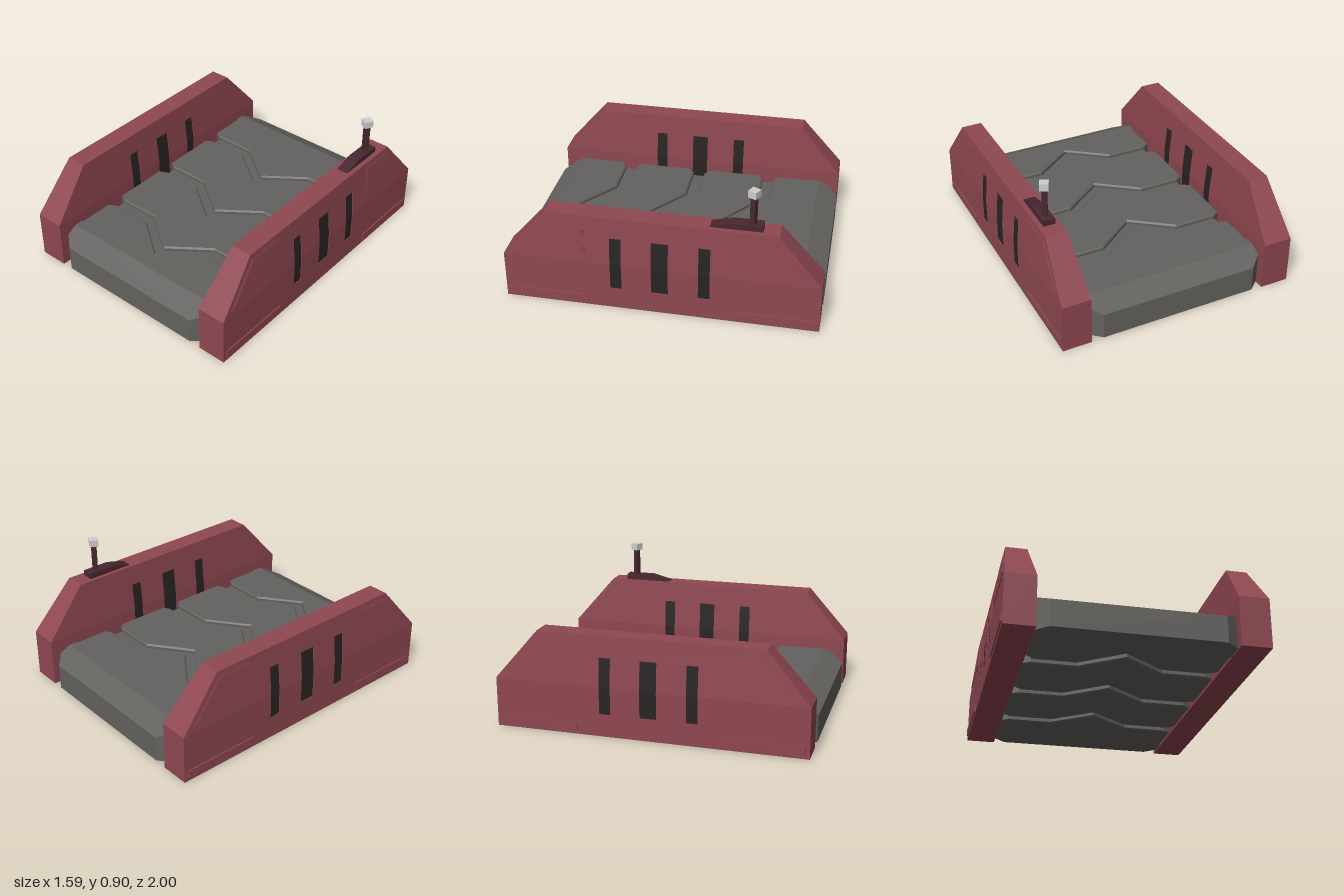
import * as THREE from 'three';
import { ConvexGeometry } from 'three/addons/geometries/ConvexGeometry.js';

const mat = (name, color) => {
  const m = new THREE.MeshStandardMaterial({ color });
  m.name = name;
  return m;
};

export function createModel() {
  const red = mat('wall red', 0x8f4751);
  const grey = mat('deck grey', 0x64625f);
  const black = mat('slot black', 0x2a2424);
  const maroon = mat('mast maroon', 0x48272f);
  const pale = mat('lamp grey', 0xcfcfcf);

  const model = new THREE.Group();
  model.name = 'trackBase';
  const add = (parent, name, geometry, material) => {
    const mesh = new THREE.Mesh(geometry, material);
    mesh.name = name;
    parent.add(mesh);
    return mesh;
  };

  // Side wall cross-section: upright to y = 0.32, then tapering to the top
  const taper = (y) => Math.max(0, y - 0.32) / 0.32 * 0.028;
  const inner = (y) => 0.598 + taper(y);
  const outer = (y) => 0.788 - taper(y);

  // Extrudes a (z, y) outline across x between two surfaces
  const slab = (points, x0, x1) => {
    const shape = new THREE.Shape(points.map(([z, y]) => new THREE.Vector2(-z, y)));
    const g = new THREE.ExtrudeGeometry(shape, { depth: 1, bevelEnabled: false });
    g.rotateY(Math.PI / 2);
    const p = g.attributes.position;
    for (let i = 0; i < p.count; i++) {
      const y = p.getY(i);
      p.setX(i, p.getX(i) < 0.5 ? x0(y) : x1(y));
    }
    g.computeVertexNormals();
    return g;
  };

  const slots = [[0.277, 0.036], [0, 0.053], [-0.277, 0.036]]; // centre z, half width
  const slotLow = 0.145, slotHigh = 0.505;
  const notches = (y) => slots.flatMap(([z, w]) => [[z + w, 0.32], [z + w, y], [z - w, y], [z - w, 0.32]]);

  function sideWall(name) {
    const wall = new THREE.Group();
    wall.name = name;
    add(wall, 'lowerWall', slab([[-0.995, 0], [0.995, 0], [0.995, 0.32], ...notches(slotLow), [-0.995, 0.32]], inner, outer), red);
    add(wall, 'upperWall', slab([[-0.72, 0.64], [0.72, 0.64], [0.995, 0.32], ...notches(slotHigh), [-0.995, 0.32]], inner, outer), red);

    // Dark slots set just below both faces
    for (const [z, w] of slots) {
      for (const [a, b] of [[slotLow, 0.32], [0.32, slotHigh]]) {
        add(wall, 'slot', slab([[z - w, a], [z + w, a], [z + w, b], [z - w, b]],
          (y) => inner(y) + 0.004, (y) => outer(y) - 0.004), black);
      }
    }

    // Thin outer panels at both ends, with a raised inner face
    const base = (y) => outer(y) - 0.01;
    for (const s of [1, -1]) {
      add(wall, 'cornerPanel', slab([[0.47, 0.36], [0.92, 0.36], [0.705, 0.607], [0.47, 0.607]].map(([z, y]) => [s * z, y]),
        base, (y) => outer(y) + 0.002), red);
      add(wall, 'cornerPanelFace', slab([[0.482, 0.369], [0.898, 0.369], [0.7, 0.597], [0.482, 0.597]].map(([z, y]) => [s * z, y]),
        base, (y) => outer(y) + 0.005), red);
      add(wall, 'skirtStrip', slab([[0.455, 0.025], [0.97, 0.025], [0.97, 0.075], [0.455, 0.075]].map(([z, y]) => [s * z, y]),
        base, (y) => outer(y) + 0.008), red);
    }
    model.add(wall);
    return wall;
  }
  sideWall('leftWall');
  sideWall('rightWall').rotation.y = Math.PI;

  // Deck: four treads divided by chevron grooves over a recessed core
  const deck = new THREE.Group();
  deck.name = 'deck';
  model.add(deck);
  const core = add(deck, 'deckCore', new THREE.BoxGeometry(1.1, 0.18, 1.6), grey);
  core.position.y = 0.13;

  // Chevron edge from left to right; side tells which way the corner is cut
  const chevron = (z, side) => [
    [-0.598, z + side * 0.03], [-0.55, z], [-0.265, z], [0, z + 0.195], [0.265, z], [0.55, z], [0.598, z + side * 0.03],
  ];
  const straight = (z) => [[-0.598, z], [0.598, z]];
  const grooves = [-0.5, 0, 0.5];
  for (let i = 0; i <= grooves.length; i++) {
    const back = i === 0 ? straight(-0.82) : chevron(grooves[i - 1] + 0.035, 1);
    const front = i === grooves.length ? straight(0.82) : chevron(grooves[i] - 0.04, -1);
    const outline = [...back, ...front.reverse()].map(([x, z]) => new THREE.Vector2(x, -z));
    const g = new THREE.ExtrudeGeometry(new THREE.Shape(outline), {
      depth: 0.22, bevelEnabled: true, bevelSegments: 1, bevelThickness: 0.01, bevelSize: 0.01, bevelOffset: -0.01,
    });
    g.rotateX(-Math.PI / 2);
    g.translate(0, 0.018, 0);
    add(deck, 'tread', g, grey);
  }

  // Sloped deck ends with cut corners
  for (const s of [1, -1]) {
    const pts = [];
    for (const [x, z, top] of [[0.598, 0.8, 0.248], [0.598, 0.86, 0.248], [0.598, 0.93, 0.213], [0.52, 0.998, 0.179]]) {
      for (const m of [1, -1]) {
        pts.push(new THREE.Vector3(m * x, 0.008, s * z), new THREE.Vector3(m * x, top, s * z));
      }
    }
    add(deck, s > 0 ? 'frontLip' : 'backLip', new ConvexGeometry(pts), grey);
  }

  // Signal mast on the left wall
  const mast = new THREE.Group();
  mast.name = 'signalMast';
  model.add(mast);
  add(mast, 'mastFoot', slab([[-0.3, 0.635], [-0.3, 0.642], [-0.435, 0.677], [-0.62, 0.677], [-0.62, 0.635]],
    () => 0.653, () => 0.729), maroon);
  const turned = (name, size, height, y, material) => {
    const m = add(mast, name, new THREE.BoxGeometry(size, height, size), material);
    m.position.set(0.69, y, -0.555);
    m.rotation.y = -0.46;
  };
  turned('mastPole', 0.033, 0.19, 0.765, maroon);
  turned('mastLamp', 0.056, 0.046, 0.88, pale);

  return model;
}
